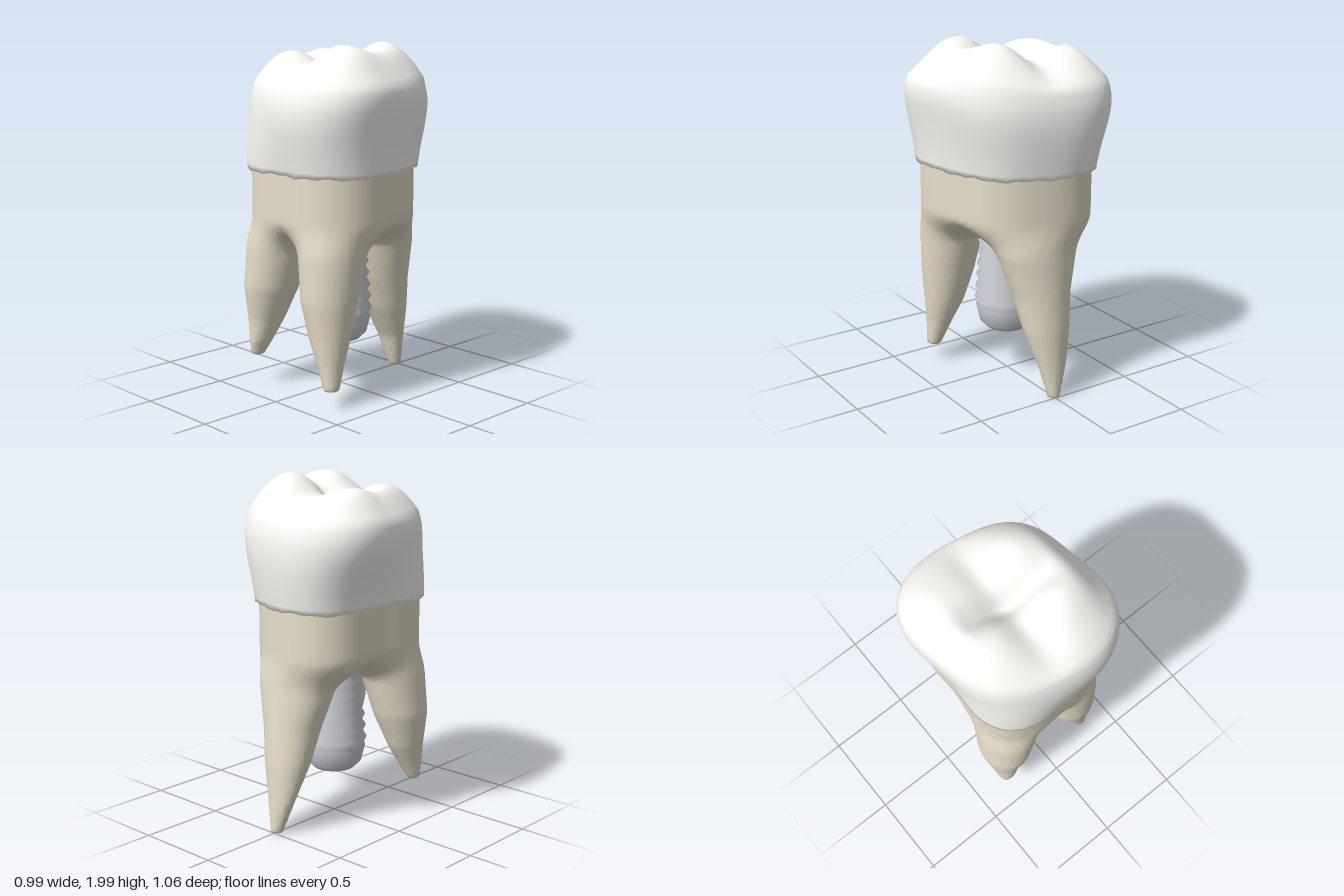
import * as THREE from 'three';

const material = (color) => new THREE.MeshStandardMaterial({ color });
const gauss = (d, s) => Math.exp(-(d * d) / (2 * s * s));

// Plan outline: a rounded square leaning along one diagonal.
// neck = 0 at the widest part of the crown, 1 at the gum line and below.
const outline = (a, neck) =>
  0.521 + 0.004 * neck + 0.016 * neck * Math.sin(a) - 0.022 * Math.cos(2 * a) +
  (0.045 - 0.023 * neck) * Math.sin(2 * a) - (0.026 + 0.005 * neck) * Math.cos(4 * a) +
  0.028 * neck * Math.cos(3 * (a - 0.75 * Math.PI));

function indexed(positions, indices) {
  const g = new THREE.BufferGeometry();
  g.setAttribute('position', new THREE.Float32BufferAttribute(positions, 3));
  g.setIndex(indices);
  g.computeVertexNormals();
  return g;
}

// Cusps: x, z, height, spread
const cusps = [
  [0.18, -0.17, 0.13, 0.13], [0.2, 0.18, 0.12, 0.12],
  [-0.24, -0.18, 0.065, 0.13], [-0.22, 0.17, 0.07, 0.12],
];

// Chewing surface: low dome, cusps, marginal ridges and crossing grooves
function chewHeight(x, z, t) {
  let y = 1.765 + 0.1 * (1 - t ** 5);
  for (const [cx, cz, h, s] of cusps) y += h * gauss(Math.hypot(x - cx, z - cz), s);
  const inside = 1 - t ** 6;
  y += 0.05 * inside * gauss(Math.abs(x) - 0.34, 0.06) * gauss(z, 0.2);
  y -= 0.075 * gauss(z - 0.01 - 0.15 * x, 0.05) * gauss(x + 0.04, 0.17);
  y -= 0.035 * inside * gauss(x + 0.02, 0.07);
  return y;
}

function crownGeometry() {
  const N = 80, top = 20;
  // Wall rings: y, x scale, z scale (from inside the lip upward)
  const wall = [
    [1.33, 0.72, 0.8], [1.295, 0.82, 0.9], [1.29, 0.87, 0.935], [1.32, 0.875, 0.945],
    [1.4, 0.895, 0.965], [1.5, 0.935, 0.99], [1.58, 0.97, 0.998], [1.65, 0.995, 0.99],
    [1.7, 1.0, 0.97], [1.74, 0.99, 0.945],
  ];
  const pos = [], idx = [];
  const rings = wall.length + top;
  for (let j = 0; j < rings; j++) {
    for (let i = 0; i < N; i++) {
      const a = (i / N) * Math.PI * 2;
      if (j < wall.length) {
        const [y, sx, sz] = wall[j];
        const r = outline(a, 1 - THREE.MathUtils.smoothstep(y, 1.26, 1.66));
        const ragged = j === 1 || j === 2 ? 0.004 * (Math.sin(9 * a) + Math.sin(23 * a + 1)) : 0;
        pos.push(r * Math.cos(a) * sx, y + ragged, r * Math.sin(a) * sz);
      } else {
        const t = 1 - (j - wall.length) / top, r = outline(a, 0) * t;
        const x = r * Math.cos(a) * 0.97, z = r * Math.sin(a) * 0.92;
        pos.push(x, chewHeight(x, z, t), z);
      }
    }
  }
  const centre = pos.length / 3;
  pos.push(0, chewHeight(0, 0, 0), 0);
  for (let j = 0; j < rings; j++) {
    for (let i = 0; i < N; i++) {
      const a = j * N + i, b = j * N + ((i + 1) % N);
      if (j === rings - 1) idx.push(a, centre, b);
      else idx.push(a, a + N, b, b, a + N, b + N);
    }
  }
  return indexed(pos, idx);
}

// Root sections from top to tip: y, centre x, centre z, radius x, radius z
const roots = [
  [[0.85, -0.222, 0.26, 0.18, 0.2], [0.6, -0.26, 0.29, 0.152, 0.17], [0.4, -0.285, 0.312, 0.097, 0.115],
    [0.27, -0.298, 0.345, 0.06, 0.075], [0.18, -0.315, 0.36, 0.032, 0.04]],
  [[0.85, 0.215, 0.26, 0.18, 0.2], [0.6, 0.225, 0.295, 0.155, 0.165], [0.4, 0.245, 0.31, 0.117, 0.122],
    [0.25, 0.272, 0.33, 0.074, 0.082], [0.1, 0.3, 0.35, 0.04, 0.045]],
  [[0.85, 0, -0.3, 0.25, 0.175], [0.6, 0, -0.346, 0.175, 0.148], [0.4, -0.005, -0.392, 0.14, 0.117],
    [0.2, -0.01, -0.446, 0.09, 0.065], [0, 0, -0.48, 0.034, 0.036]],
];

function sectionAt(list, y) {
  if (y >= list[0][0]) return list[0];
  for (let i = 1; i < list.length; i++) {
    const a = list[i - 1], b = list[i];
    if (y >= b[0]) {
      const t = (a[0] - y) / (a[0] - b[0]);
      return a.map((v, k) => v + (b[k] - v) * t);
    }
  }
  return list[list.length - 1];
}

// Signed field: three tapering roots melting into one trunk (negative inside)
function rootField(x, y, z) {
  let legs = Infinity;
  for (const list of roots) {
    const [, cx, cz, rx, rz] = sectionAt(list, y);
    const d = (Math.hypot((x - cx) / rx, (z - cz) / rz) - 1) * Math.min(rx, rz);
    legs = Math.min(legs, Math.max(d, list[list.length - 1][0] - y));
  }
  const px = x / 0.825, pz = z / 0.89;
  const trunk = (Math.hypot(px, pz) / outline(Math.atan2(pz, px), 1) - 1) * 0.42;
  const s = THREE.MathUtils.smoothstep(y, 0.82, 1.03);
  return Math.max(legs + (trunk - legs) * s, y - 1.37);
}

// Smooth skin over the zero level of a field, one vertex per crossed cell
function skin(f, min, n, h) {
  const [nx, ny, nz] = n;
  const step = [1, nx, nx * ny];
  const val = new Float32Array(nx * ny * nz), cell = new Int32Array(nx * ny * nz).fill(-1);
  const pos = [], idx = [];
  const each = (from, fn) => {
    for (let k = from; k < nz - 1; k++)
      for (let j = from; j < ny - 1; j++)
        for (let i = from; i < nx - 1; i++) fn(i, j, k, i + j * nx + k * nx * ny);
  };
  for (let k = 0, p = 0; k < nz; k++)
    for (let j = 0; j < ny; j++)
      for (let i = 0; i < nx; i++) val[p++] = f(min[0] + i * h, min[1] + j * h, min[2] + k * h);
  each(0, (i, j, k, p) => {
    const sum = [0, 0, 0];
    let count = 0;
    for (let c = 0; c < 8; c++) {
      const bits = [c & 1, (c >> 1) & 1, c >> 2];
      const q = p + bits[0] + bits[1] * step[1] + bits[2] * step[2];
      for (let a = 0; a < 3; a++) {
        if (bits[a]) continue;
        const v0 = val[q], v1 = val[q + step[a]];
        if (v0 < 0 === v1 < 0) continue;
        for (let b = 0; b < 3; b++) sum[b] += bits[b] + (a === b ? v0 / (v0 - v1) : 0);
        count++;
      }
    }
    if (!count) return;
    cell[p] = pos.length / 3;
    [i, j, k].forEach((v, b) => pos.push(min[b] + (v + sum[b] / count) * h));
  });
  each(1, (i, j, k, p) => {
    for (let a = 0; a < 3; a++) {
      const inside = val[p] < 0;
      if (inside === val[p + step[a]] < 0) continue;
      const u = step[(a + 1) % 3], v = step[(a + 2) % 3];
      const [A, B, C, D] = [p - u - v, p - v, p, p - u].map((q) => cell[q]);
      if (inside) idx.push(A, B, C, A, C, D);
      else idx.push(A, C, B, A, D, C);
    }
  });
  return indexed(pos, idx);
}

// Implant: rounded tip, threaded shaft narrowing slightly upward
function implantGeometry() {
  const pts = [[0, 0.265], [0.07, 0.267], [0.12, 0.28], [0.16, 0.32], [0.182, 0.41]];
  for (let i = 0; i < 10; i++) {
    const y = 0.45 + i * 0.07, r = 0.19 - i * 0.005;
    pts.push([r - 0.018, y - 0.025], [r, y + 0.01]);
  }
  pts.push([0.12, 1.12], [0, 1.12]);
  return new THREE.LatheGeometry(pts.map(([r, y]) => new THREE.Vector2(r, y)), 32);
}

export function createModel() {
  const group = new THREE.Group();
  group.name = 'molarTooth';
  const add = (name, geometry, color) => {
    const mesh = new THREE.Mesh(geometry, material(color));
    mesh.name = name;
    group.add(mesh);
  };
  add('crown', crownGeometry(), 0xfcfbf7);
  add('roots', skin(rootField, [-0.49, -0.05, -0.57], [50, 74, 56], 0.02), 0xe8dfca);
  add('implant', implantGeometry(), 0xd0d3da);
  return group;
}
